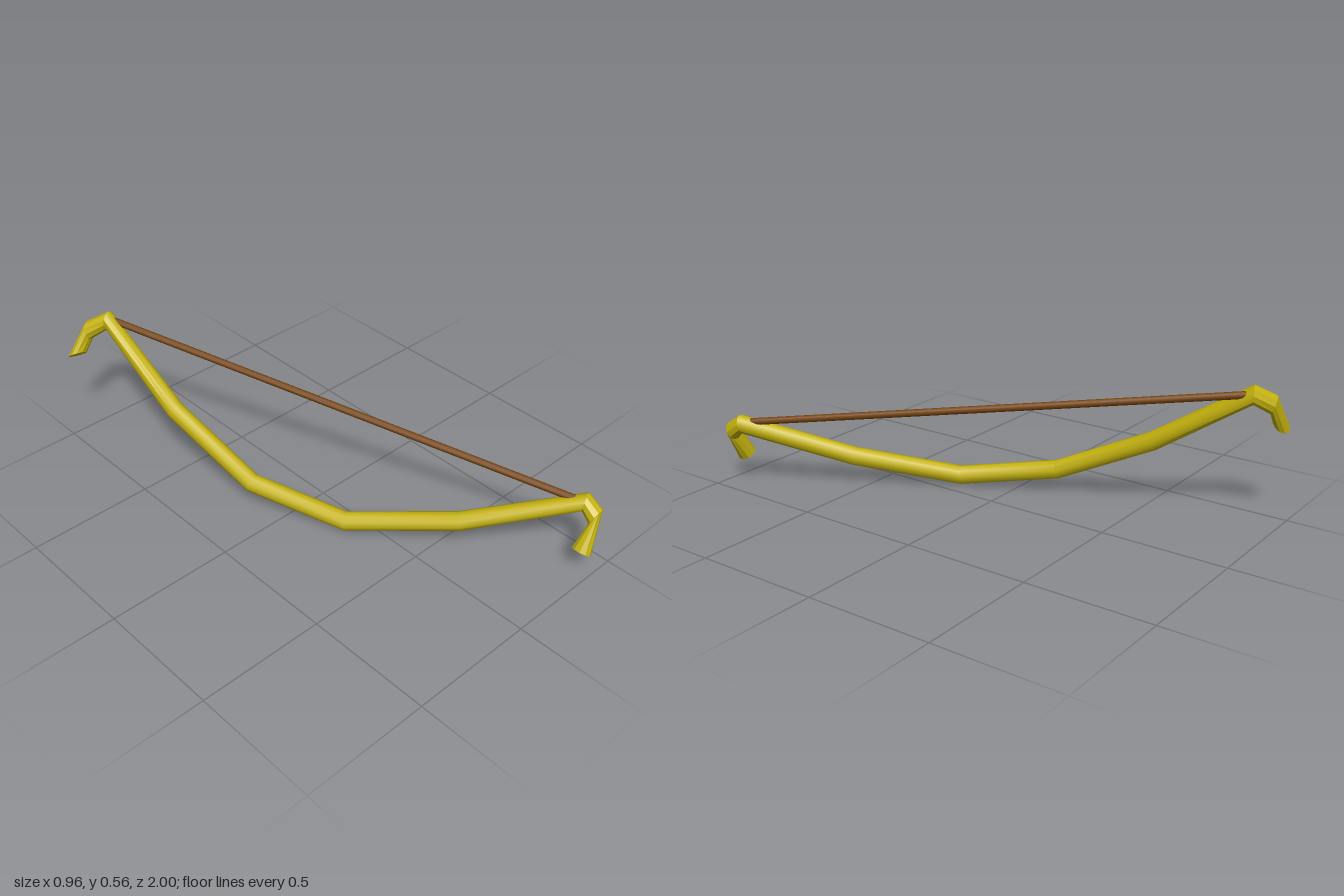
import * as THREE from 'three';
import { toCreasedNormals } from 'three/addons/utils/BufferGeometryUtils.js';

const SIDES = 10;
const RADIUS = 0.037;

// Path of the bow from front hook tip to back hook tip: x, y, z, then an optional ring normal
const PATH = [
  [0.37, 0.108, 0.96, 0.55, 0.83, 0],
  [0.443, 0.225, 0.95, -0.1, 0.45, -0.88],
  [0.443, 0.263, 0.9, -0.35, 0.1, -0.93],
  [0.165, 0.12, 0.56],
  [-0.08, 0.042, 0.21],
  [-0.235, 0.1, -0.15],
  [-0.302, 0.28, -0.53],
  [-0.32, 0.528, -0.91, -0.4, 0, -0.9],
  [-0.38, 0.485, -0.963, -0.45, -0.3, -0.85],
  [-0.445, 0.392, -0.97, -0.2, -0.75, 0.6],
];

// One ring of points per path station, carried along without twist
function makeRings() {
  const centres = PATH.map((p) => new THREE.Vector3(p[0], p[1], p[2]));
  const normals = PATH.map((p, i) => {
    if (p.length > 3) return new THREE.Vector3(p[3], p[4], p[5]).normalize();
    const before = centres[i].clone().sub(centres[i - 1]).normalize();
    const after = centres[i + 1].clone().sub(centres[i]).normalize();
    return before.add(after).normalize();
  });
  const u = new THREE.Vector3(0, 0, 1);
  const turn = new THREE.Quaternion();
  return centres.map((centre, i) => {
    const n = normals[i];
    if (i > 0) u.applyQuaternion(turn.setFromUnitVectors(normals[i - 1], n));
    u.addScaledVector(n, -u.dot(n)).normalize();
    const v = n.clone().cross(u);
    const points = [];
    for (let j = 0; j < SIDES; j++) {
      const a = (j / SIDES) * Math.PI * 2;
      points.push(centre.clone()
        .addScaledVector(u, Math.cos(a) * RADIUS)
        .addScaledVector(v, Math.sin(a) * RADIUS));
    }
    return { centre, points };
  });
}

// Skin a run of rings, with optional flat caps
function skin(rings, capStart, capEnd) {
  const pos = [];
  const tri = (...pts) => pts.forEach((p) => pos.push(p.x, p.y, p.z));
  for (let j = 0; j < SIDES; j++) {
    const k = (j + 1) % SIDES;
    for (let i = 0; i < rings.length - 1; i++) {
      const a = rings[i].points, b = rings[i + 1].points;
      tri(a[j], a[k], b[k]);
      tri(a[j], b[k], b[j]);
    }
    const first = rings[0], last = rings[rings.length - 1];
    if (capStart) tri(first.centre, first.points[k], first.points[j]);
    if (capEnd) tri(last.centre, last.points[j], last.points[k]);
  }
  const geo = new THREE.BufferGeometry();
  geo.setAttribute('position', new THREE.Float32BufferAttribute(pos, 3));
  geo.computeVertexNormals();
  return geo;
}

export function createModel() {
  const group = new THREE.Group();
  group.name = 'bow';
  const add = (name, geo, mat) => {
    const mesh = new THREE.Mesh(geo, mat);
    mesh.name = name;
    group.add(mesh);
    return mesh;
  };
  const wood = new THREE.MeshStandardMaterial({ color: 0xc4b20c, side: THREE.DoubleSide });
  const cord = new THREE.MeshStandardMaterial({ color: 0x75430a });

  // Curved limb with a faceted hook at each end
  const rings = makeRings();
  add('limb', toCreasedNormals(skin(rings.slice(2, 8), false, false), 0.7), wood);
  add('frontHook', skin(rings.slice(0, 3), true, false), wood);
  add('backHook', skin(rings.slice(7), false, true), wood);

  // Straight bowstring between the two tips
  const a = new THREE.Vector3(0.425, 0.27, 0.88);
  const b = new THREE.Vector3(-0.305, 0.527, -0.89);
  const dir = b.clone().sub(a);
  const string = add('bowstring', new THREE.CylinderGeometry(0.014, 0.014, dir.length(), 10), cord);
  string.position.copy(a).add(b).multiplyScalar(0.5);
  string.quaternion.setFromUnitVectors(new THREE.Vector3(0, 1, 0), dir.normalize());

  return group;
}
